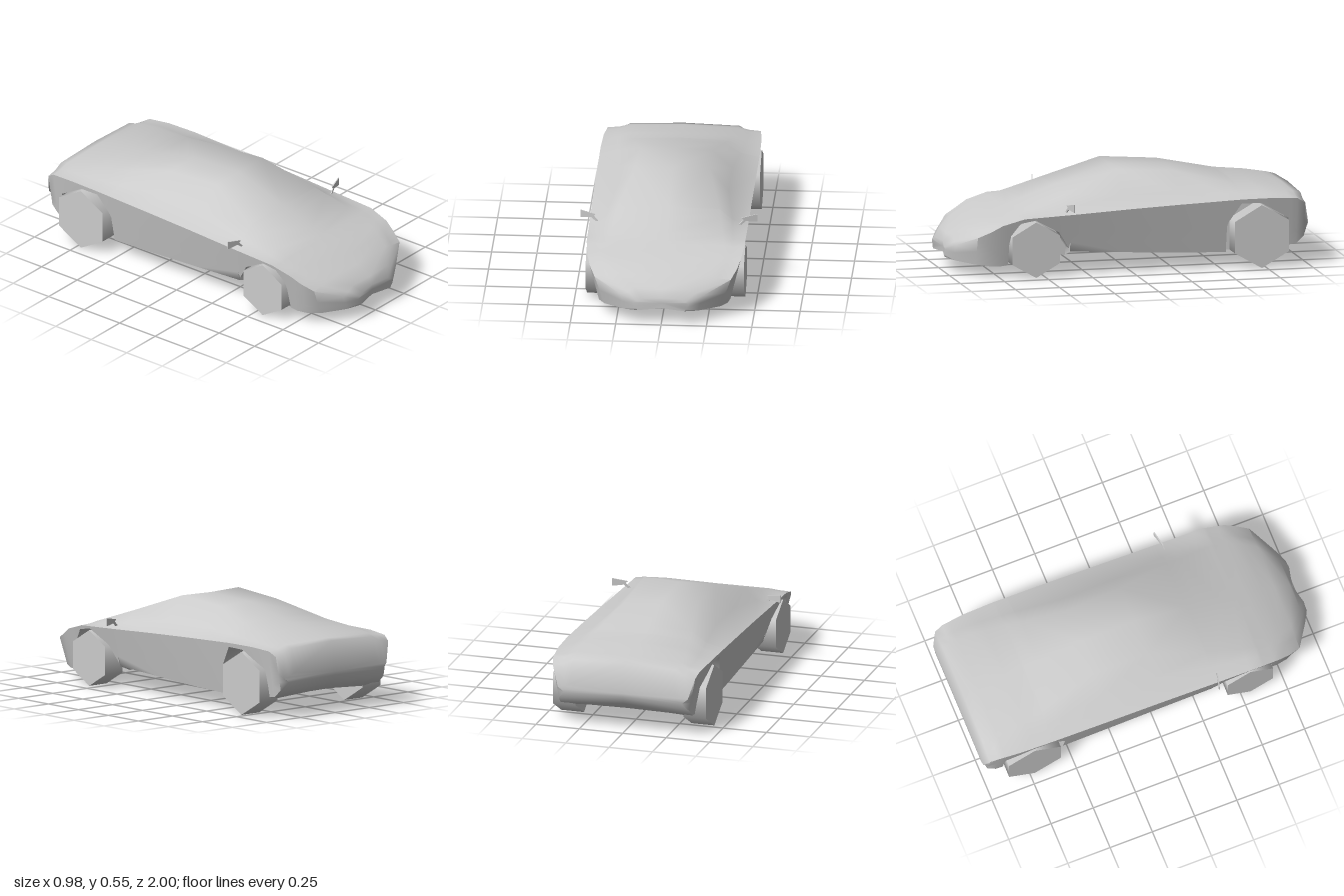
import * as THREE from 'three';
import { toCreasedNormals } from 'three/addons/utils/BufferGeometryUtils.js';

const grey = new THREE.MeshStandardMaterial({ color: 0xcccccc, side: THREE.DoubleSide });

// Key body sections: z, floor centre y, sill y, sill x, shoulder x, shoulder y, top edge x, top edge y, centre y
const KEYS = [
  [1.0, 0.09, 0.085, 0.13, 0.155, 0.13, 0.11, 0.155, 0.15],
  [0.96, 0.085, 0.075, 0.2, 0.23, 0.165, 0.15, 0.2, 0.195],
  [0.87, 0.08, 0.068, 0.32, 0.375, 0.225, 0.25, 0.25, 0.24],
  [0.8, 0.078, 0.062, 0.355, 0.405, 0.26, 0.28, 0.28, 0.272],
  [0.74, 0.078, 0.06, 0.365, 0.422, 0.295, 0.3, 0.302, 0.3],
  [0.62, 0.085, 0.08, 0.37, 0.435, 0.33, 0.32, 0.342, 0.342],
  [0.35, 0.092, 0.13, 0.385, 0.437, 0.343, 0.28, 0.433, 0.438],
  [0.04, 0.095, 0.112, 0.382, 0.438, 0.36, 0.205, 0.545, 0.54],
  [-0.28, 0.095, 0.095, 0.38, 0.44, 0.375, 0.2, 0.523, 0.53],
  [-0.62, 0.09, 0.085, 0.38, 0.44, 0.388, 0.27, 0.445, 0.455],
  [-0.8, 0.105, 0.1, 0.38, 0.435, 0.388, 0.3, 0.422, 0.428],
  [-0.93, 0.125, 0.12, 0.38, 0.422, 0.378, 0.3, 0.4, 0.407],
  [-0.975, 0.165, 0.16, 0.375, 0.41, 0.35, 0.3, 0.388, 0.398],
  [-1.0, 0.21, 0.205, 0.34, 0.375, 0.235, 0.3, 0.255, 0.26],
];
// Wheel arch lips as z, y; the flank is whole just beyond each end
const ARCHES = [
  [[0.69, 0.235], [0.64, 0.305], [0.555, 0.32], [0.42, 0.245], [0.36, 0.15]],
  [[-0.54, 0.26], [-0.61, 0.365], [-0.722, 0.362], [-0.88, 0.27]],
];

const lerp = THREE.MathUtils.lerp;

// Straight blend between the two rows that bracket z
function rowAt(rows, z) {
  const i = Math.max(1, rows.findIndex((k) => k[0] <= z));
  const a = rows[i - 1], b = rows[i];
  const t = (z - a[0]) / (b[0] - a[0]);
  return a.map((v, n) => lerp(v, b[n], t));
}

// Closed outline of the body at z, from the floor centre up the left and down the right
function ringAt(z) {
  const [, floor, ey, ex, sx, sy, tx, ty, cy] = rowAt(KEYS, z);
  const flank = (y) => [lerp(ex, sx, (y - ey) / (sy - ey)), y];
  const arch = ARCHES.find((a) => z <= a[0][0] && z >= a.at(-1)[0]);
  let low = [[ex, ey], flank(lerp(ey, sy, 0.25)), flank(lerp(ey, sy, 0.5))];
  if (arch) {
    const lip = rowAt(arch, z)[1];
    low = [[0.31, Math.min(ey, 0.1)], [0.31, lip], flank(lip)];
  }
  const half = [...low, [sx, sy], [lerp(sx, tx, 0.55), lerp(sy, ty, 0.3)], [tx, ty]];
  const other = half.map(([x, y]) => [-x, y]).reverse();
  // The middle of the nose is notched
  const notch = Math.max(0, z - 0.96) * 0.6;
  return [[0, floor], ...half, [0, cy], ...other].map(([x, y]) => [x, y, x === 0 ? z - notch : z]);
}

function bodyGeometry() {
  const archStations = ARCHES.flatMap((a) => [a[0][0] + 0.008, ...a.map((p) => p[0]), a.at(-1)[0] - 0.008]);
  const stations = [...KEYS.map((k) => k[0]), ...archStations].sort((a, b) => b - a);
  const rings = stations.map(ringAt);
  const n = rings[0].length, last = rings.length - 1;
  const pos = rings.flat(2);
  const index = [];
  for (let i = 0; i < last; i++) {
    for (let j = 0; j < n; j++) {
      const a = i * n + j, b = i * n + (j + 1) % n;
      // Matching diagonals on the two sides
      if (j < n / 2) index.push(a, a + n, b, b, a + n, b + n);
      else index.push(a, a + n, b + n, a, b + n, b);
    }
  }
  // Nose and tail caps
  pos.push(0, 0.12, 0.976, 0, 0.23, -1);
  const nose = rings.length * n;
  for (let j = 0; j < n; j++) {
    const k = (j + 1) % n;
    index.push(nose, j, k, nose + 1, last * n + k, last * n + j);
  }
  const g = new THREE.BufferGeometry();
  g.setAttribute('position', new THREE.Float32BufferAttribute(pos, 3));
  g.setIndex(index);
  return toCreasedNormals(g, 1.25);
}

// Stem and blade in one thin outline, swept back; s is the side of the car
function mirrorGeometry(s) {
  const pts = [[0.375, 0.345], [0.39, 0.345], [0.423, 0.372], [0.488, 0.364],
    [0.488, 0.408], [0.4, 0.392], [0.412, 0.38]];
  const shape = new THREE.Shape(pts.map(([x, y]) => new THREE.Vector2(s * (x - 0.43), y)));
  const g = new THREE.ExtrudeGeometry(shape, { depth: 0.006, bevelEnabled: false });
  g.rotateY(s * 0.25);
  return g.translate(s * 0.43, 0, 0.362);
}

export function createModel() {
  const car = new THREE.Group();
  car.name = 'car';
  const add = (name, geometry) => {
    const m = new THREE.Mesh(geometry, grey);
    m.name = name;
    car.add(m);
    return m;
  };

  add('body', bodyGeometry());

  // Six-sided wheels standing on a corner: name, z, radius, outer x
  const axles = [['front', 0.555, 0.155, 0.436], ['rear', -0.722, 0.176, 0.441]];
  for (const [side, s] of [['Left', 1], ['Right', -1]]) {
    for (const [name, z, r, outer] of axles) {
      const width = outer - 0.31;
      const g = new THREE.CylinderGeometry(r, r, width, 6, 1, false, Math.PI / 2);
      g.rotateZ(Math.PI / 2);
      add(`${name}${side}Wheel`, g).position.set(s * (outer - width / 2), r, z);
    }
    add(`wing${side}Mirror`, mirrorGeometry(s));
  }
  return car;
}
